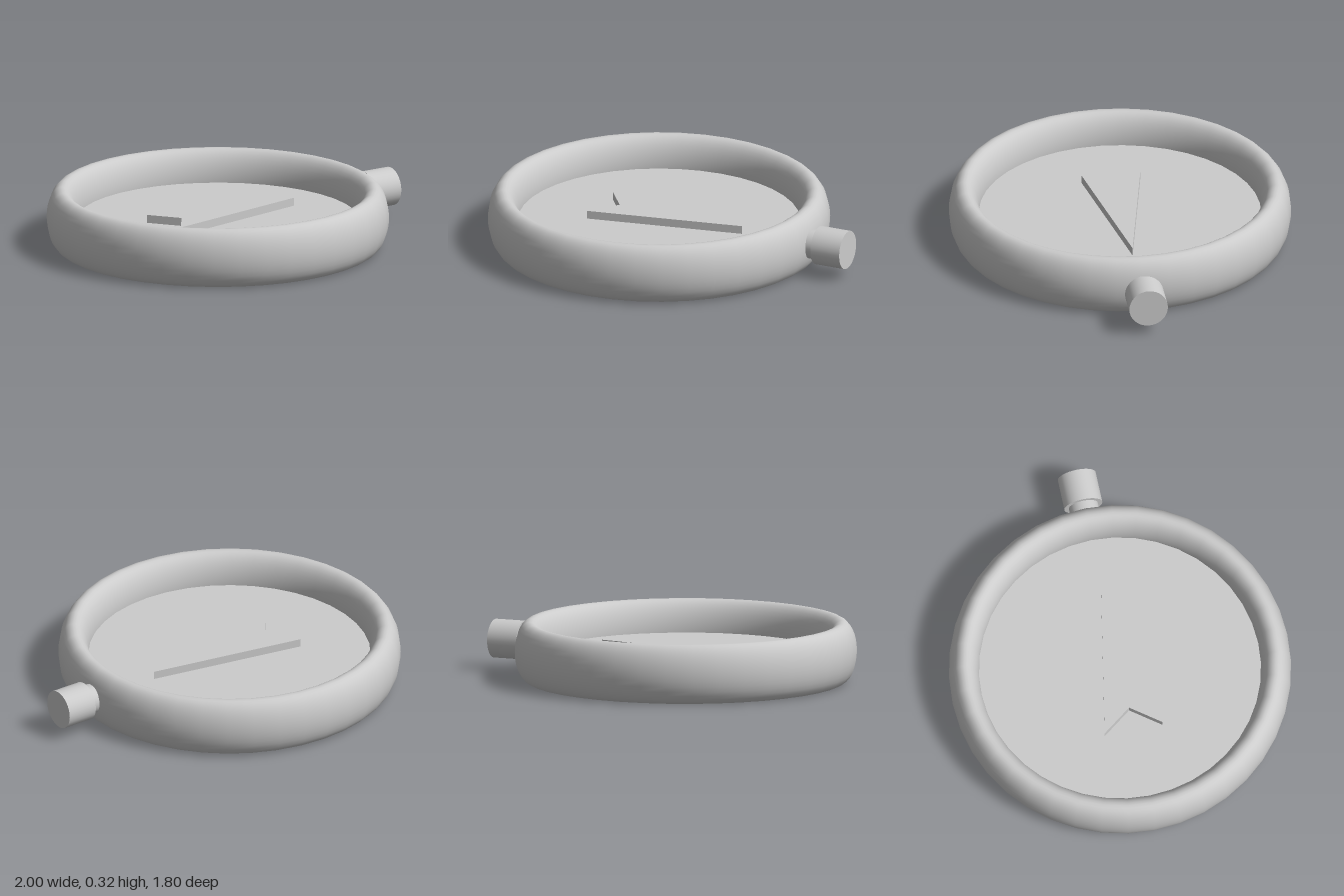
import * as THREE from 'three';

const CX = -0.1;   // centre of the case
const MID = 0.158; // half the case height

export function createModel() {
  const group = new THREE.Group();
  const material = new THREE.MeshStandardMaterial({ color: 0xcccccc });

  const add = (name, geometry, x, y) => {
    const mesh = new THREE.Mesh(geometry, material);
    mesh.name = name;
    mesh.position.set(x, y, 0);
    group.add(mesh);
  };

  // Rounded case: a torus stretched to twice its height
  const ring = new THREE.TorusGeometry(0.819, 0.079, 32, 40);
  ring.rotateX(-Math.PI / 2).scale(1, 2, 1);
  add('caseRing', ring, CX, MID);

  // Dial plate, its rim sunk into the ring
  add('dial', new THREE.CylinderGeometry(0.78, 0.78, 0.085, 40), CX, 0.1025);

  // Notched arrow needle lying on the dial
  const arrow = new THREE.Shape([
    new THREE.Vector2(0.385, 0),
    new THREE.Vector2(-0.445, 0.155),
    new THREE.Vector2(-0.33, 0),
    new THREE.Vector2(-0.445, -0.155),
  ]);
  const needle = new THREE.ExtrudeGeometry(arrow, { depth: 0.043, bevelEnabled: false });
  needle.rotateX(-Math.PI / 2);
  add('needle', needle, 0, 0.145);

  // Stem and knob on the side of the case
  const sideRod = (name, radius, x0, x1) => {
    const rod = new THREE.CylinderGeometry(radius, radius, x1 - x0, 32);
    rod.rotateZ(-Math.PI / 2);
    add(name, rod, (x0 + x1) / 2, MID);
  };
  sideRod('stem', 0.078, 0.72, 0.84);
  sideRod('knob', 0.102, 0.832, 1);

  return group;
}
